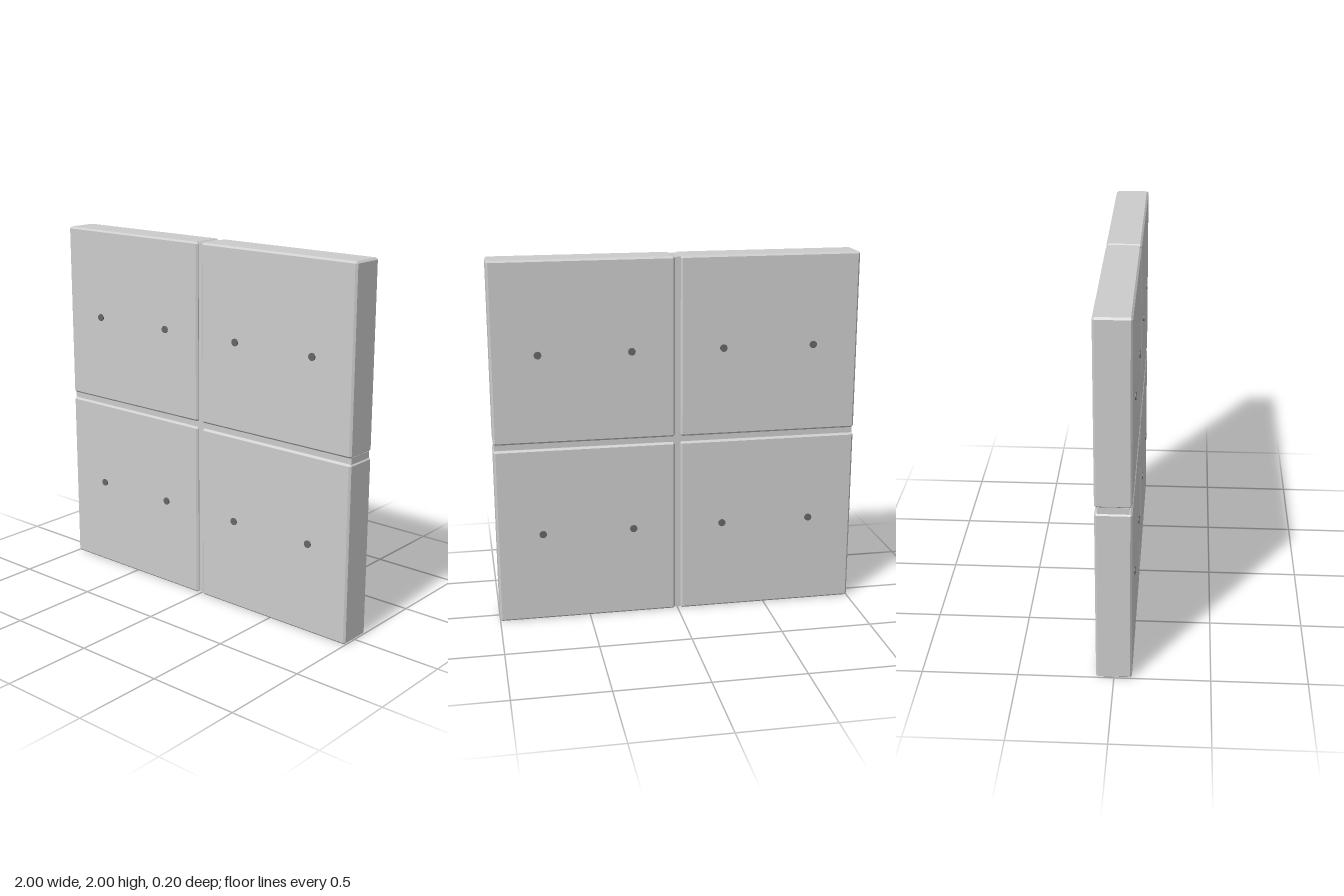
import * as THREE from 'three';
import { ConvexGeometry } from 'three/addons/geometries/ConvexGeometry.js';

const GAP = 0.016;      // half the groove between panels
const HALF_DEPTH = 0.093;
const CORE_DEPTH = 0.156;

// Box with every edge and corner cut at 45 degrees
function chamferedBox(width, height, depth, c) {
  const w = width / 2, h = height / 2, d = depth / 2, points = [];
  for (const x of [-1, 1]) for (const y of [-1, 1]) for (const z of [-1, 1]) {
    points.push(
      new THREE.Vector3(x * w, y * (h - c), z * (d - c)),
      new THREE.Vector3(x * (w - c), y * h, z * (d - c)),
      new THREE.Vector3(x * (w - c), y * (h - c), z * d));
  }
  return new ConvexGeometry(points);
}

export function createModel() {
  const model = new THREE.Group();
  model.name = 'panelWall';
  const grey = new THREE.MeshStandardMaterial({ color: 0xcccccc, flatShading: true });
  const dark = new THREE.MeshStandardMaterial({ color: 0x666666 });

  const add = (name, geometry, material, x, y, z = 0) => {
    const mesh = new THREE.Mesh(geometry, material);
    mesh.name = name;
    mesh.position.set(x, y, z);
    model.add(mesh);
    return mesh;
  };

  // Four panels, each with a pair of pins showing on both faces
  const size = 1 - GAP;
  const panel = chamferedBox(size, size, HALF_DEPTH * 2, 0.01);
  const pin = new THREE.CylinderGeometry(0.02, 0.02, 0.2, 24).rotateX(Math.PI / 2);
  for (const sx of [-1, 1]) {
    for (const sy of [-1, 1]) {
      add('panel', panel, grey, sx * (GAP + size / 2), 1 + sy * (GAP + size / 2));
      for (const px of [0.25, 0.75]) add('pin', pin, dark, sx * px, 1 + sy * 0.5);
    }
  }

  // Recessed joint strips filling the grooves
  const strip = GAP * 2 + 0.004;
  add('verticalJoint', new THREE.BoxGeometry(strip, 1.99, CORE_DEPTH), grey, 0, 1);
  for (const sx of [-1, 1]) {
    add('horizontalJoint', new THREE.BoxGeometry(0.995 - strip / 2, strip, CORE_DEPTH), grey,
      sx * (0.995 + strip / 2) / 2, 1);
  }
  return model;
}
